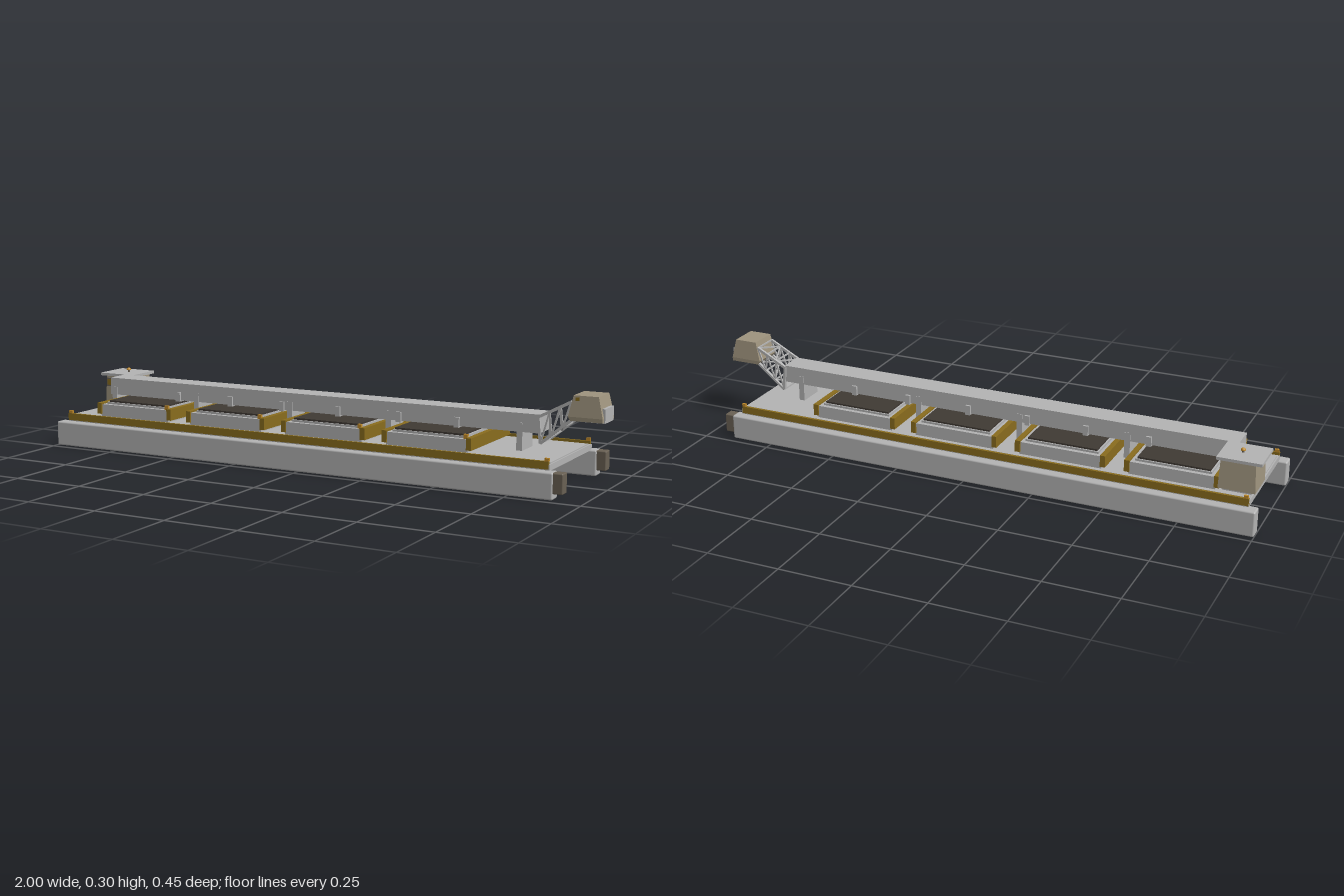
import * as THREE from 'three';
import { RoundedBoxGeometry } from 'three/addons/geometries/RoundedBoxGeometry.js';

const mat = (name, color) => {
  const m = new THREE.MeshStandardMaterial({ color });
  m.name = name;
  return m;
};

export function createModel() {
  const root = new THREE.Group();
  root.name = 'gantryPlatform';
  const grey = mat('lightGrey', 0xb4b4b4);
  const gold = mat('oldGold', 0x8a6d1e);
  const amber = mat('amber', 0xc08a2a);
  const beige = mat('beige', 0x9f947e);
  const brown = mat('darkBrown', 0x6a6154);
  const black = mat('charcoalBrown', 0x403a34);

  const add = (name, geo, m, parent = root) => {
    const mesh = new THREE.Mesh(geo, m);
    mesh.name = name;
    parent.add(mesh);
    return mesh;
  };
  // Box given by its limits on each axis
  const box = (name, m, x0, x1, y0, y1, z0, z1, parent = root, radius = 0) => {
    const s = [x1 - x0, y1 - y0, z1 - z0];
    const geo = radius ? new RoundedBoxGeometry(...s, 2, radius) : new THREE.BoxGeometry(...s);
    const mesh = add(name, geo, m, parent);
    mesh.position.set((x0 + x1) / 2, (y0 + y1) / 2, (z0 + z1) / 2);
    return mesh;
  };
  // Box whose top face is pulled in at each side
  const taperedBox = (name, m, x0, x1, y0, y1, z0, z1, inset, parent) => {
    const mesh = box(name, m, x0, x1, y0, y1, z0, z1, parent);
    const p = mesh.geometry.attributes.position;
    for (let i = 0; i < p.count; i++) {
      if (p.getY(i) < 0) continue;
      p.setX(i, p.getX(i) + (p.getX(i) < 0 ? inset[0] : -inset[1]));
      p.setZ(i, p.getZ(i) + (p.getZ(i) < 0 ? inset[2] : -inset[3]));
    }
    mesh.geometry.computeVertexNormals();
    return mesh;
  };
  // Square bar between two points
  const bar = (name, a, b, w, parent) => {
    const p = new THREE.Vector3(...a), q = new THREE.Vector3(...b);
    const mesh = add(name, new THREE.BoxGeometry(w, w, p.distanceTo(q)), grey, parent);
    mesh.position.copy(p).add(q).multiplyScalar(0.5);
    mesh.lookAt(q);
    return mesh;
  };

  // Side floats with end blocks, and the long edge rails
  for (const s of [-1, 1]) {
    const span = (a, b) => (s > 0 ? [a, b] : [-b, -a]);
    box('sideBeam', grey, -1, 0.9, 0, 0.087, ...span(0.18, 0.226), root, 0.006);
    box('endBlock', brown, 0.895, 0.932, 0.02, 0.086, ...span(0.184, 0.222), root, 0.004);
    box('edgeRail', gold, -0.97, 0.875, 0.09, 0.115, ...span(0.187, 0.196));
    for (const x of [-0.96, 0.868])
      box('railStop', amber, x - 0.007, x + 0.007, 0.115, 0.125, ...span(0.187, 0.196));
  }

  // Deck and the cross beams beneath
  box('deck', grey, -0.97, 0.878, 0.085, 0.105, -0.195, 0.195);
  box('deckPlate', grey, -0.965, 0.873, 0.105, 0.109, -0.174, 0.174);
  for (let i = 0; i < 9; i++) {
    const x = -0.8 + i * 0.2;
    box('crossBeam', grey, x - 0.012, x + 0.012, 0.05, 0.072, -0.182, 0.182);
  }

  // Four bays with gold end plates and dark grates
  for (const x of [-0.705, -0.3225, 0.0625, 0.4425]) {
    const bay = new THREE.Group();
    bay.name = 'bay';
    bay.position.x = x;
    root.add(bay);
    box('bayBase', grey, -0.145, 0.145, 0.107, 0.152, -0.158, 0.158, bay);
    for (const s of [-1, 1])
      box('endPlate', gold, s * 0.15 - 0.009, s * 0.15 + 0.009, 0.117, 0.157, -0.163, 0.163, bay);
    box('grateSeat', grey, -0.128, 0.128, 0.152, 0.159, -0.143, 0.143, bay);
    box('grate', black, -0.122, 0.122, 0.159, 0.165, -0.138, 0.138, bay);
    box('bayMarker', amber, 0.128, 0.142, 0.152, 0.167, 0.143, 0.154, bay);
  }

  // Overhead spine with legs and side brackets
  box('spine', grey, -0.89, 0.785, 0.17, 0.231, -0.044, 0.044);
  for (const x of [-0.872, -0.515, -0.13, 0.25, 0.718])
    box('spineLeg', grey, x - 0.01, x + 0.01, 0.107, 0.2, -0.046, 0.046);
  for (const x of [-0.59, -0.37, -0.16, 0.06, 0.29, 0.5])
    box('spineBracket', grey, x - 0.009, x + 0.009, 0.166, 0.2, -0.052, 0.052);

  // Lattice arm rising from the spine to the end cab
  const arm = new THREE.Group();
  arm.name = 'latticeArm';
  root.add(arm);
  const low = (t, z) => [0.79 + 0.11 * t, 0.14 + 0.09 * t, z];
  const high = (t, z) => [0.782 + 0.11 * t, 0.224 + 0.058 * t, z];
  const n = 3;
  for (const z of [-0.046, 0.046]) {
    bar('lowerChord', low(0, z), low(1, z), 0.009, arm);
    bar('upperChord', high(0, z), high(1, z), 0.009, arm);
    bar('rootPost', low(0, z), high(0, z), 0.009, arm);
    for (let i = 0; i < n; i++) {
      bar('sideBrace', low(i / n, z), high((i + 1) / n, z), 0.005, arm);
      bar('sidePost', low((i + 1) / n, z), high((i + 1) / n, z), 0.005, arm);
    }
  }
  for (const chord of [low, high]) {
    for (let i = 0; i <= n; i++) {
      const s = i % 2 ? -0.046 : 0.046;
      bar('crossTie', chord(i / n, -0.046), chord(i / n, 0.046), 0.005, arm);
      if (i < n) bar('crossBrace', chord(i / n, s), chord((i + 1) / n, -s), 0.005, arm);
    }
  }

  // End cab
  const endCab = new THREE.Group();
  endCab.name = 'endCab';
  root.add(endCab);
  taperedBox('endCabBody', beige, 0.882, 0.996, 0.235, 0.303, -0.056, 0.056, [0.016, 0.016, 0.006, 0.006], endCab);
  taperedBox('endCabSkirt', beige, 0.89, 0.996, 0.222, 0.235, -0.055, 0.055, [-0.008, 0, -0.001, -0.001], endCab);
  box('endCabPanel', grey, 0.92, 0.9995, 0.219, 0.265, -0.041, 0.041, endCab);
  box('endCabMarker', gold, 0.905, 0.918, 0.286, 0.297, 0.046, 0.053, endCab);

  // Control cab at the rear corner, with roof, windows and lamp
  const cab = new THREE.Group();
  cab.name = 'controlCab';
  root.add(cab);
  taperedBox('cabBody', beige, -0.982, -0.86, 0.122, 0.222, -0.169, -0.048, [0.006, 0.003, 0.008, 0], cab);
  box('cabFoot', grey, -0.965, -0.87, 0.107, 0.123, -0.15, -0.06, cab);
  box('cabRoof', grey, -1, -0.852, 0.221, 0.231, -0.177, -0.042, cab);
  box('windowFrame', brown, -0.975, -0.897, 0.182, 0.213, -0.049, -0.045, cab);
  for (const x of [-0.955, -0.917])
    box('cabWindow', gold, x - 0.015, x + 0.015, 0.187, 0.209, -0.046, -0.043, cab);
  const stem = add('lampStem', new THREE.CylinderGeometry(0.004, 0.004, 0.01, 8), brown, cab);
  stem.position.set(-0.92, 0.235, -0.11);
  const lamp = add('lamp', new THREE.SphereGeometry(0.008, 12, 6, 0, Math.PI * 2, 0, Math.PI / 2), amber, cab);
  lamp.position.set(-0.92, 0.239, -0.11);
  const lampBase = add('lampBase', new THREE.CylinderGeometry(0.008, 0.008, 0.002, 12), amber, cab);
  lampBase.position.set(-0.92, 0.239, -0.11);

  return root;
}
